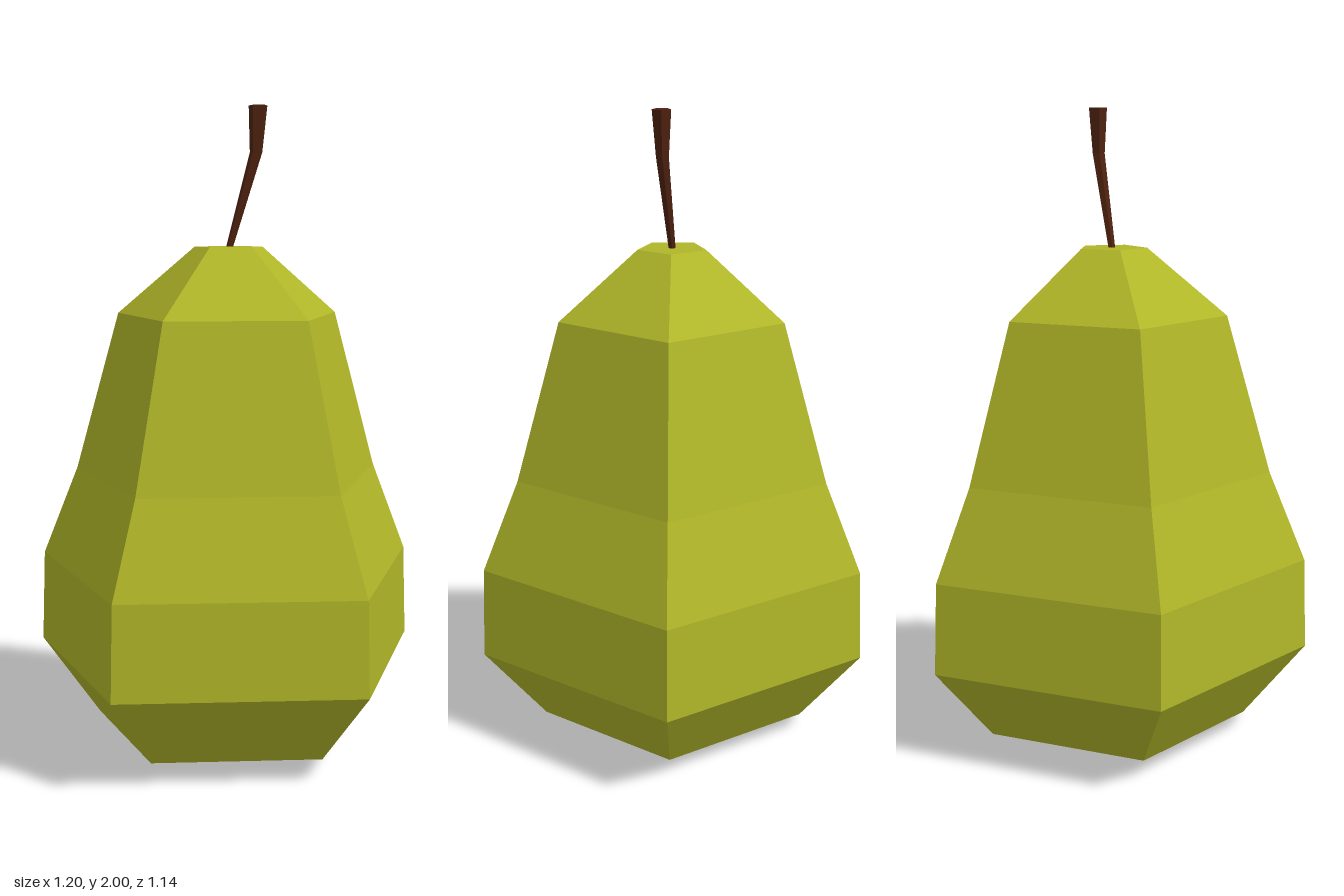
import * as THREE from 'three';

const SIDES = 5;
const CENTRE_Z = 0.06;

// Five-sided faceted solid from [radius, y] pairs, with one corner pointing back.
// shift(y) slides each ring sideways.
function facetedLathe(profile, shift = () => 0) {
  const points = profile.map(([r, y]) => new THREE.Vector2(r, y));
  const lathe = new THREE.LatheGeometry(points, SIDES, Math.PI);
  const pos = lathe.attributes.position;
  for (let i = 0; i < pos.count; i++) pos.setX(i, pos.getX(i) + shift(pos.getY(i)));
  const geometry = lathe.toNonIndexed();
  geometry.computeVertexNormals();
  return geometry;
}

export function createModel() {
  const skin = new THREE.MeshStandardMaterial({ color: 0xb0b628, flatShading: true });
  skin.name = 'pearSkin';
  const bark = new THREE.MeshStandardMaterial({ color: 0x4f2210, flatShading: true });
  bark.name = 'stemBrown';

  // Fruit body, from the pointed base to the flat crown
  const body = new THREE.Mesh(facetedLathe([
    [0, 0.005], [0.435, 0.062], [0.63, 0.297], [0.62, 0.585],
    [0.503, 0.87], [0.36, 1.367], [0.11, 1.575], [0, 1.575],
  ]), skin);
  body.name = 'fruitBody';

  // Stem, leaning to the left and widening to its cut end
  const lean = (y) => (y < 1.86
    ? THREE.MathUtils.mapLinear(y, 1.57, 1.86, 0, 0.082)
    : THREE.MathUtils.mapLinear(y, 1.86, 2, 0.082, 0.088));
  const stem = new THREE.Mesh(facetedLathe([
    [0, 1.57], [0.011, 1.57], [0.02, 1.86], [0.03, 2], [0, 2],
  ], lean), bark);
  stem.name = 'stem';

  const pear = new THREE.Group();
  pear.name = 'pear';
  pear.add(body, stem);
  pear.children.forEach((part) => { part.position.z = CENTRE_Z; });
  return pear;
}
